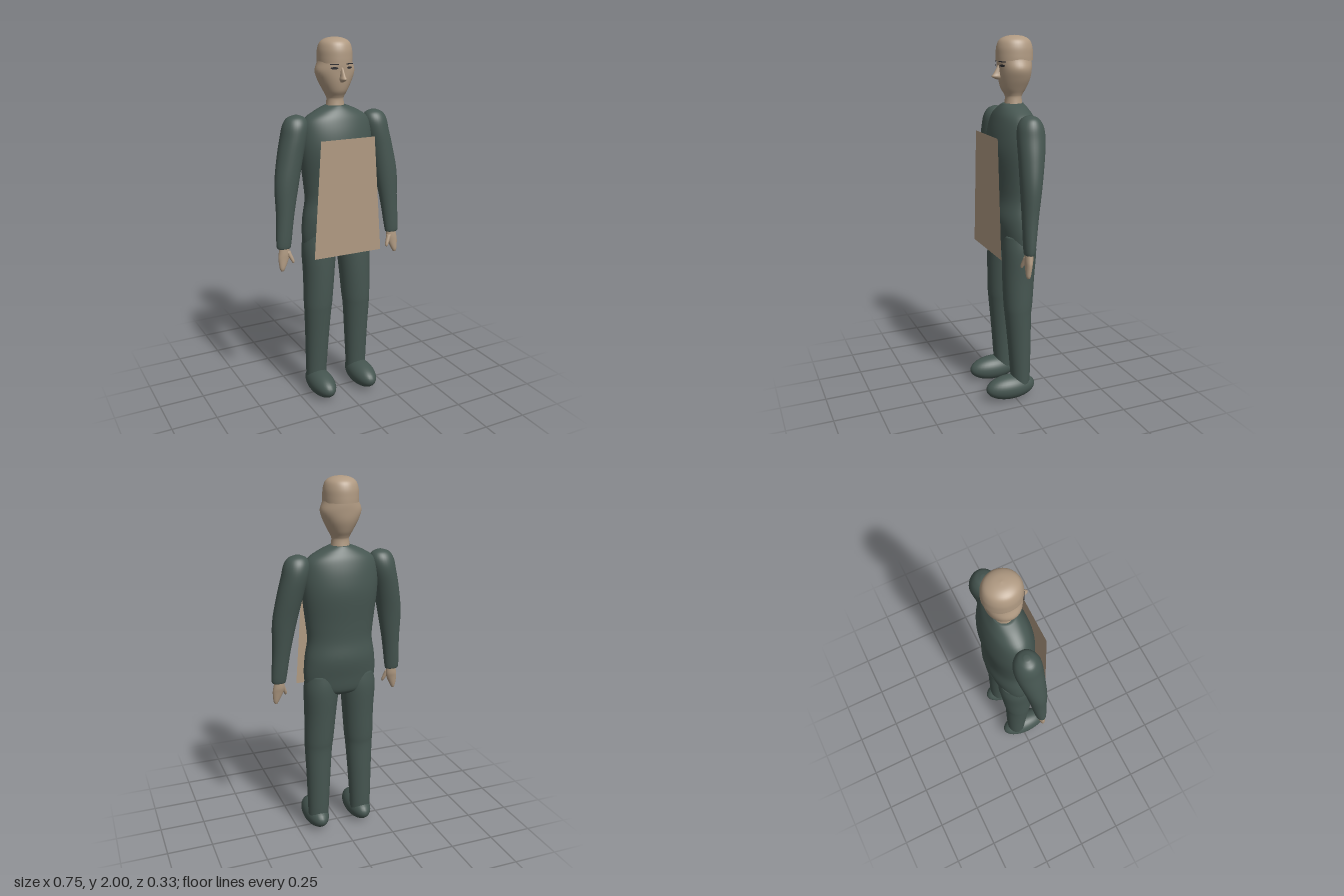
import * as THREE from 'three';

const mat = (name, color, side = THREE.FrontSide) => {
  const m = new THREE.MeshStandardMaterial({ color, side });
  m.name = name;
  return m;
};

// Smooth loft through elliptical sections [y, centreX, centreZ, radiusX, radiusZ], bottom to top
function loft(sections, sides = 32, steps = 5) {
  const lerp = (a, b, c, d, t) => {
    const m0 = (c - a) / 2, m1 = (d - b) / 2, t2 = t * t, t3 = t2 * t;
    return (2 * t3 - 3 * t2 + 1) * b + (t3 - 2 * t2 + t) * m0 + (3 * t2 - 2 * t3) * c + (t3 - t2) * m1;
  };
  const rings = [];
  const n = sections.length;
  const at = i => sections[Math.min(n - 1, Math.max(0, i))];
  for (let i = 0; i < n - 1; i++)
    for (let k = 0; k < steps; k++)
      rings.push(at(i).map((_, j) => {
        const v = lerp(at(i - 1)[j], at(i)[j], at(i + 1)[j], at(i + 2)[j], k / steps);
        return j > 2 ? Math.max(0.001, v) : v;
      }));
  rings.push(at(n - 1));
  const pos = [], idx = [];
  for (const [y, cx, cz, rx, rz] of rings)
    for (let s = 0; s < sides; s++) {
      const a = (s / sides) * Math.PI * 2;
      pos.push(cx + rx * Math.sin(a), y, cz + rz * Math.cos(a));
    }
  for (let r = 0; r < rings.length - 1; r++)
    for (let s = 0; s < sides; s++) {
      const a = r * sides + s, b = r * sides + (s + 1) % sides;
      idx.push(a, b, b + sides, a, b + sides, a + sides);
    }
  // End caps
  const last = rings.length - 1;
  [[0, false], [last, true]].forEach(([r, top]) => {
    const c = pos.length / 3, [y, cx, cz] = rings[r];
    pos.push(cx, y, cz);
    for (let s = 0; s < sides; s++) {
      const a = r * sides + s, b = r * sides + (s + 1) % sides;
      idx.push(...(top ? [c, a, b] : [c, b, a]));
    }
  });
  const g = new THREE.BufferGeometry();
  g.setAttribute('position', new THREE.Float32BufferAttribute(pos, 3));
  g.setIndex(idx);
  g.computeVertexNormals();
  return g;
}

export function createModel() {
  const model = new THREE.Group();
  const suit = mat('suit green', 0x465651);
  const skin = mat('skin tan', 0xb09a82);
  const shell = mat('tan panel', 0xb09a82, THREE.DoubleSide);
  const dark = mat('eye dark', 0x2b2b2e, THREE.DoubleSide);
  const add = (name, geo, m, parent = model) => {
    const mesh = new THREE.Mesh(geo, m);
    mesh.name = name;
    parent.add(mesh);
    return mesh;
  };

  add('torso', loft([
    [0.84, 0, -0.037, 0.12, 0.055], [0.87, 0, -0.037, 0.185, 0.088], [0.95, 0, -0.037, 0.203, 0.102],
    [1.05, 0, -0.037, 0.197, 0.117], [1.15, 0, -0.038, 0.182, 0.108], [1.25, 0, -0.038, 0.19, 0.113],
    [1.4, 0, -0.038, 0.207, 0.128], [1.5, 0, -0.039, 0.207, 0.119], [1.58, 0, -0.04, 0.185, 0.098],
    [1.625, 0, -0.04, 0.12, 0.076], [1.652, 0, -0.042, 0.055, 0.056],
  ], 48), suit);

  // Head and neck in one loft
  add('head', loft([
    [1.63, 0, -0.045, 0.052, 0.05], [1.68, 0, -0.045, 0.046, 0.044], [1.70, 0, -0.045, 0.05, 0.05],
    [1.73, 0, -0.045, 0.066, 0.068], [1.78, 0, -0.049, 0.092, 0.083], [1.83, 0, -0.05, 0.108, 0.088],
    [1.88, 0, -0.049, 0.092, 0.09], [1.94, 0, -0.048, 0.08, 0.082], [1.985, 0, -0.048, 0.03, 0.03],
  ], 40), skin);
  add('nose', loft([
    [1.775, 0, 0.034, 0.006, 0.008], [1.79, 0, 0.045, 0.016, 0.032],
    [1.81, 0, 0.04, 0.012, 0.025], [1.85, 0, 0.03, 0.007, 0.012],
  ], 16), skin);

  // Open skull cap with a slight overhang
  const profile = new THREE.SplineCurve([
    [0.098, 1.872], [0.098, 1.9], [0.095, 1.94], [0.08, 1.975], [0.045, 1.994], [0.0001, 2],
  ].map(p => new THREE.Vector2(...p))).getPoints(24);
  const cap = add('skullCap', new THREE.LatheGeometry(profile, 40), shell);
  cap.position.z = -0.05;
  cap.scale.x = 0.94;

  // Flat tapered panel hanging in front of the body
  const panel = new THREE.Shape([
    [-0.2, 0.86], [0.203, 0.857], [0.157, 1.493], [-0.157, 1.493],
  ].map(p => new THREE.Vector2(...p)));
  add('frontPanel', new THREE.ShapeGeometry(panel), shell).position.z = 0.108;

  for (const s of [1, -1]) {
    const side = s > 0 ? 'left' : 'right';
    const sided = rows => loft(rows.map(([y, x, ...rest]) => [y, s * x, ...rest]));

    add(side + 'Arm', sided([
      [0.918, 0.33, 0.007, 0.03, 0.02], [0.935, 0.333, 0.006, 0.041, 0.029], [1.1, 0.317, -0.004, 0.05, 0.042],
      [1.26, 0.3, -0.015, 0.066, 0.055], [1.4, 0.272, -0.029, 0.07, 0.067], [1.5, 0.247, -0.037, 0.071, 0.073],
      [1.56, 0.236, -0.038, 0.068, 0.066], [1.597, 0.232, -0.038, 0.05, 0.044], [1.613, 0.23, -0.038, 0.015, 0.014],
    ]), suit);

    add(side + 'Hand', sided([
      [0.792, 0.35, 0.017, 0.007, 0.007], [0.81, 0.348, 0.017, 0.016, 0.013], [0.86, 0.338, 0.012, 0.03, 0.018],
      [0.89, 0.333, 0.009, 0.031, 0.021], [0.93, 0.33, 0.007, 0.026, 0.02],
    ]), skin);
    add(side + 'Thumb', sided([
      [0.835, 0.291, 0.03, 0.005, 0.005], [0.85, 0.294, 0.027, 0.01, 0.01], [0.9, 0.316, 0.015, 0.015, 0.013],
    ]), skin);

    add(side + 'Leg', sided([
      [0.06, 0.13, -0.036, 0.058, 0.05], [0.15, 0.129, -0.036, 0.061, 0.055], [0.35, 0.125, -0.03, 0.069, 0.065],
      [0.5, 0.122, -0.024, 0.077, 0.073], [0.57, 0.119, -0.025, 0.082, 0.08], [0.72, 0.112, -0.029, 0.088, 0.088],
      [0.87, 0.107, -0.036, 0.097, 0.093], [0.96, 0.1, -0.037, 0.09, 0.085],
    ]), suit);

    const foot = add(side + 'Foot', new THREE.SphereGeometry(1, 32, 20), suit);
    foot.scale.set(0.07, 0.07, 0.145);
    foot.position.set(s * 0.131, 0.07, 0.023);

    // Eyes and brows as thin plates
    const eyeShape = new THREE.Shape();
    eyeShape.absellipse(0, 0, 0.02, 0.006, 0, Math.PI * 2);
    const eye = add(side + 'Eye', new THREE.ShapeGeometry(eyeShape, 12), dark);
    eye.position.set(s * 0.043, 1.848, 0.036);
    const brow = add(side + 'Brow', new THREE.BoxGeometry(0.046, 0.005, 0.004), dark);
    brow.position.set(s * 0.044, 1.868, 0.036);
    eye.rotation.y = brow.rotation.y = s * 0.42;
  }
  return model;
}
